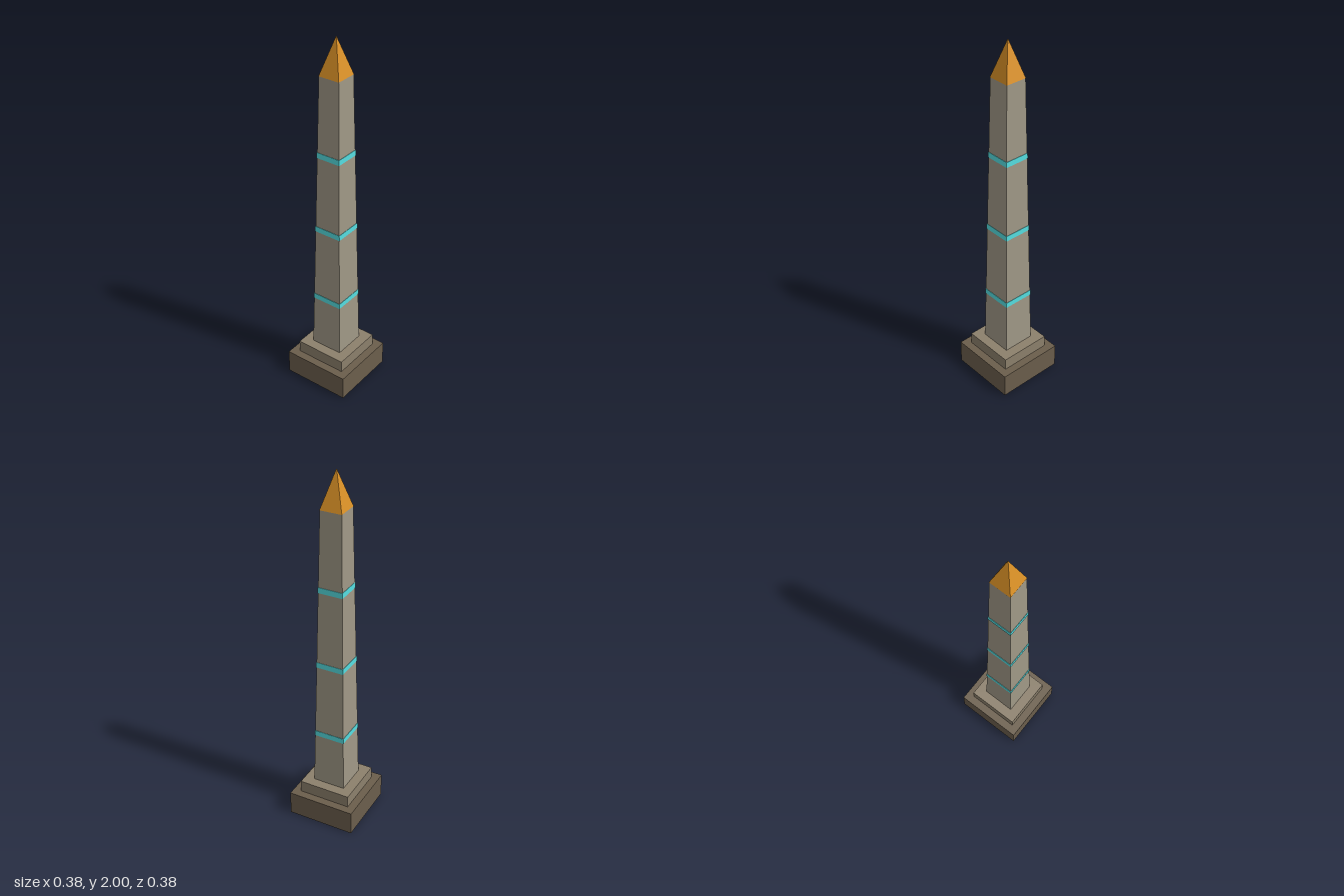
import * as THREE from 'three';

const material = (color) => new THREE.MeshStandardMaterial({ color, flatShading: true });

// Square tapered block between two heights, given its half widths
function block(name, bottomHalf, topHalf, y0, y1, mat) {
  const geometry = new THREE.CylinderGeometry(topHalf * Math.SQRT2, bottomHalf * Math.SQRT2, y1 - y0, 4);
  geometry.rotateY(Math.PI / 4);
  const mesh = new THREE.Mesh(geometry, mat);
  mesh.name = name;
  mesh.position.y = (y0 + y1) / 2;
  return mesh;
}

export function createModel() {
  const group = new THREE.Group();
  group.name = 'obelisk';

  const shaftBottom = 0.205, shaftTop = 1.805;
  const shaftHalf = (y) => THREE.MathUtils.mapLinear(y, shaftBottom, shaftTop, 0.091, 0.059);

  // Stepped pedestal
  group.add(block('plinth', 0.19, 0.19, 0, 0.137, material(0x6b5e4c)));
  group.add(block('step', 0.146, 0.146, 0.137, shaftBottom, material(0x8c806c)));

  // Tapering shaft and gilded cap
  group.add(block('shaft', shaftHalf(shaftBottom), shaftHalf(shaftTop), shaftBottom, shaftTop, material(0xa09886)));
  group.add(block('cap', 0.06, 0.001, shaftTop, 2, material(0xd99026)));

  // Glowing bands, following the taper just proud of the shaft
  const bandMaterial = material(0x55dde0);
  for (const y of [0.52, 0.95, 1.383]) {
    const y0 = y - 0.015, y1 = y + 0.015;
    group.add(block('band', shaftHalf(y0) + 0.002, shaftHalf(y1) + 0.002, y0, y1, bandMaterial));
  }
  return group;
}
